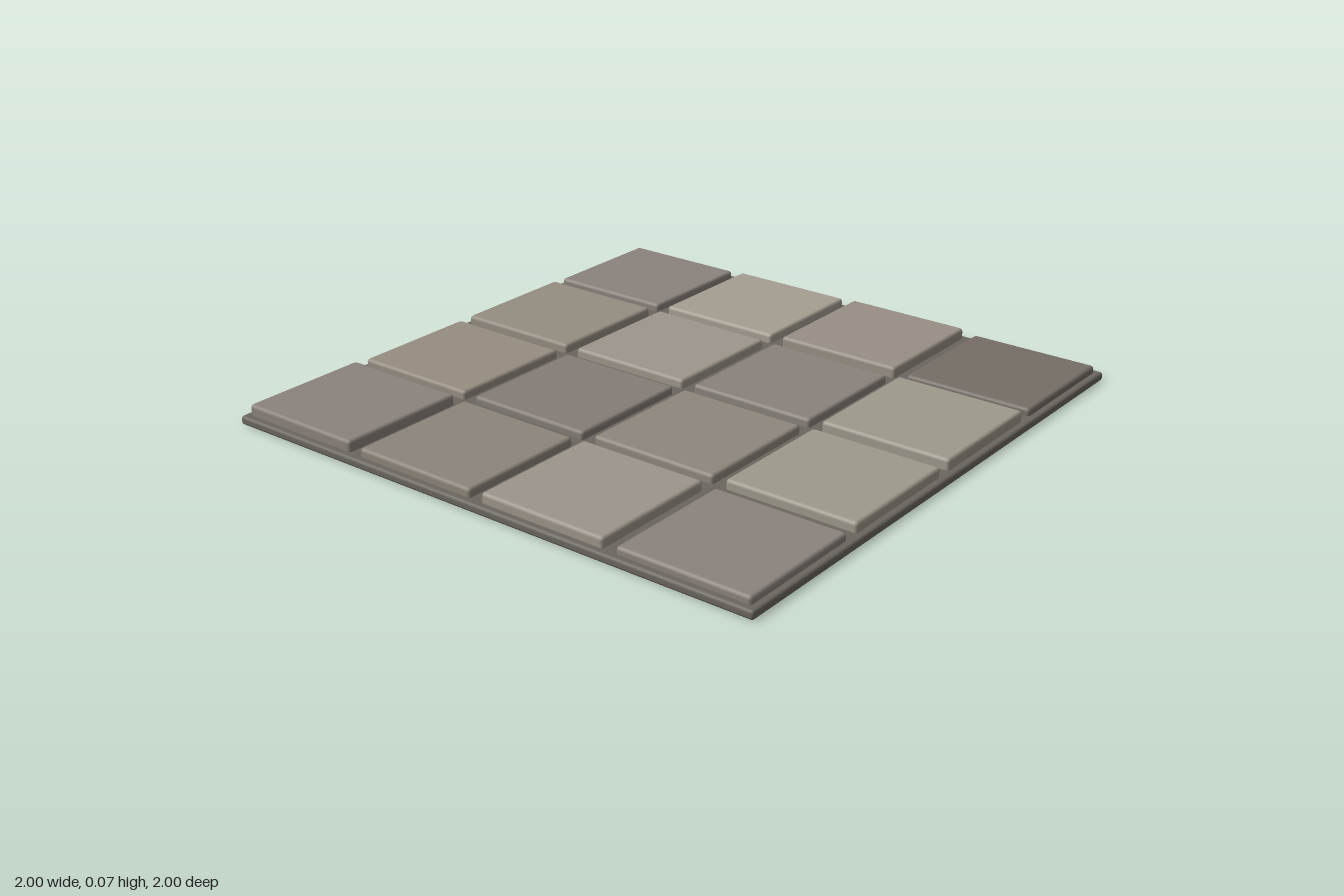
import * as THREE from 'three';
import { RoundedBoxGeometry } from 'three/addons/geometries/RoundedBoxGeometry.js';

// Rounded slab spanning the heights y0 to y1
function slab(name, size, y0, y1, radius, color) {
  const geometry = new RoundedBoxGeometry(size, y1 - y0, size, 2, radius);
  const mesh = new THREE.Mesh(geometry, new THREE.MeshStandardMaterial({ color, roughness: 0.9 }));
  mesh.name = name;
  mesh.position.y = (y0 + y1) / 2;
  return mesh;
}

export function createModel() {
  const model = new THREE.Group();
  model.name = 'pavedFloor';

  // Mortar bed under the stones
  model.add(slab('mortarBase', 2, 0, 0.03, 0.01, 0x6b665f));

  // Stone colours and top heights, rows from back to front
  const colors = [
    [0x8b837c, 0x968d82, 0x958d82, 0x8b837d],
    [0x8c857a, 0x857d77, 0x9e968b, 0xa59e92],
    [0x9d958a, 0x8f877d, 0x8a827c, 0x989085],
    [0x8b837d, 0x9f998c, 0x9f998c, 0x766e67],
  ];
  const tops = [
    [0.068, 0.06, 0.062, 0.058],
    [0.06, 0.058, 0.062, 0.063],
    [0.064, 0.06, 0.06, 0.068],
    [0.055, 0.063, 0.068, 0.055],
  ];

  // Four by four grid of paving stones
  const stones = new THREE.Group();
  stones.name = 'stones';
  for (let row = 0; row < 4; row++) {
    for (let col = 0; col < 4; col++) {
      const stone = slab(`stone_${row + 1}_${col + 1}`, 0.455, 0.02, tops[row][col], 0.012, colors[row][col]);
      stone.position.x = -0.75 + col * 0.5;
      stone.position.z = -0.75 + row * 0.5;
      stones.add(stone);
    }
  }
  model.add(stones);
  return model;
}
